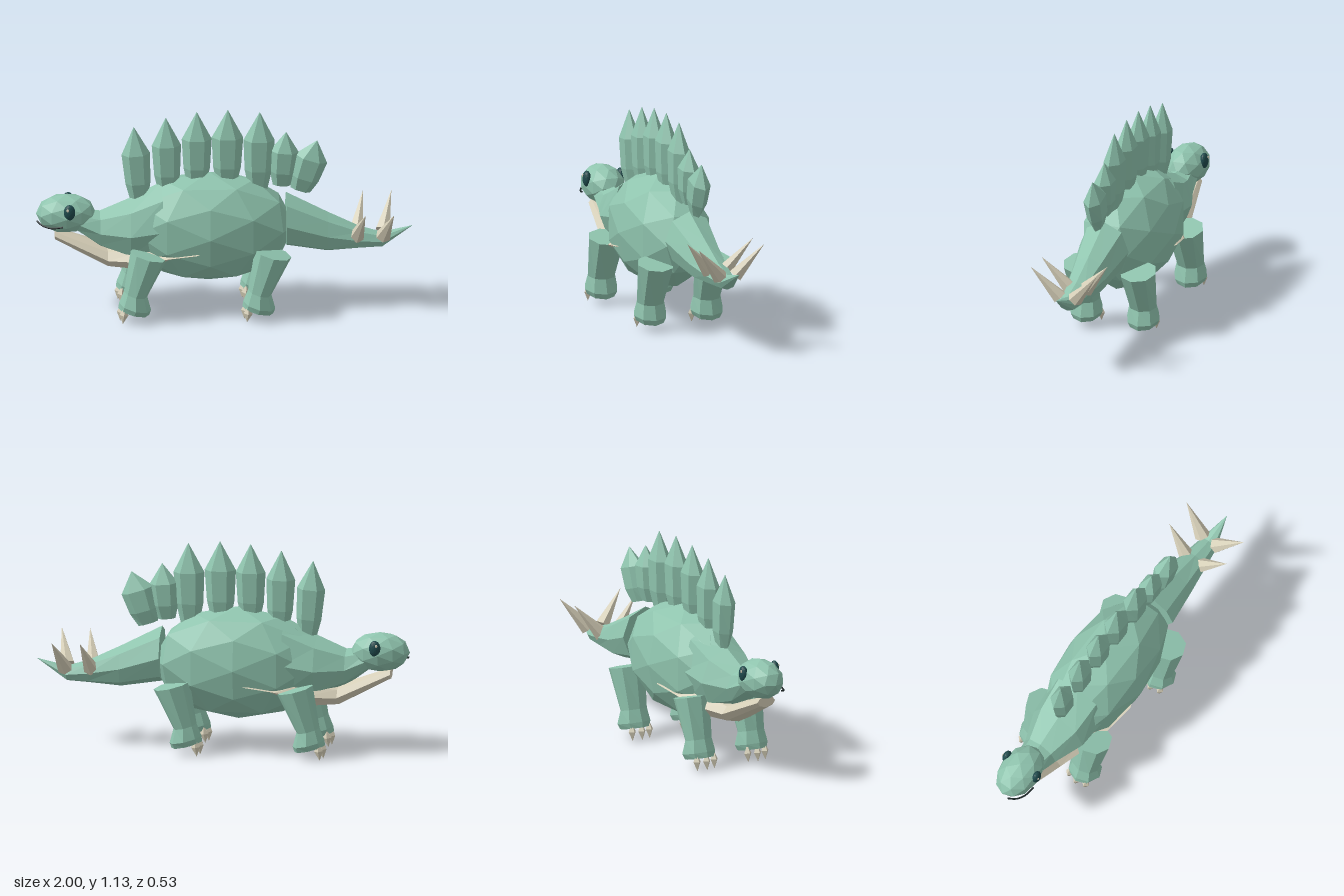
import * as THREE from 'three';

const paint = (color) => new THREE.MeshStandardMaterial({ color, flatShading: true });
const green = paint(0x8fc4ae), bone = paint(0xd6cfb8), dark = paint(0x1f4a4c), black = paint(0x1c2626);

function add(parent, name, geometry, material, x = 0, y = 0, z = 0) {
  const mesh = new THREE.Mesh(geometry, material);
  mesh.name = name;
  mesh.position.set(x, y, z);
  parent.add(mesh);
  return mesh;
}

// Capped skin along x over elliptical sections [x, centreY, radiusY, radiusZ]
function loft(sections, sides = 8) {
  const pos = [];
  const point = ([x, y, ry, rz], j) => {
    const a = (j / sides) * Math.PI * 2;
    return [x, y + ry * Math.cos(a), rz * Math.sin(a)];
  };
  const first = sections[0], last = sections[sections.length - 1];
  for (let j = 0; j < sides; j++) {
    for (let i = 0; i < sections.length - 1; i++) {
      const a = point(sections[i], j), b = point(sections[i], j + 1);
      const c = point(sections[i + 1], j), d = point(sections[i + 1], j + 1);
      pos.push(...a, ...b, ...c, ...b, ...d, ...c);
    }
    pos.push(first[0], first[1], 0, ...point(first, j + 1), ...point(first, j));
    pos.push(last[0], last[1], 0, ...point(last, j), ...point(last, j + 1));
  }
  const geometry = new THREE.BufferGeometry();
  geometry.setAttribute('position', new THREE.Float32BufferAttribute(pos, 3));
  geometry.computeVertexNormals();
  return geometry;
}

const ball = (rx, ry, rz, detail = 1) => new THREE.IcosahedronGeometry(1, detail).scale(rx, ry, rz);

function createLeg(x, side, name) {
  const leg = new THREE.Group();
  leg.name = name;
  const limb = add(leg, 'limb', loft([
    [0, 0, 0.1, 0.1], [0.23, -0.015, 0.064, 0.078], [0.3, 0, 0.088, 0.093], [0.33, 0, 0.085, 0.078],
  ]), green, x, 0.375, side * 0.163);
  limb.rotation.z = -1.82;
  // Three claws at the toe edge
  for (const dz of [-0.053, 0, 0.053]) {
    const claw = add(leg, 'claw', new THREE.OctahedronGeometry(1).scale(0.024, 0.05, 0.022), bone,
      x - 0.135 - (dz === 0 ? 0.012 : 0), 0.052, side * 0.158 + dz);
    claw.rotation.z = -0.12;
  }
  return leg;
}

export function createModel() {
  const model = new THREE.Group();
  model.name = 'platedDinosaur';

  add(model, 'body', ball(0.46, 0.305, 0.235), green, -0.08, 0.475);
  add(model, 'neck', loft([
    [-0.78, 0.52, 0.06, 0.08], [-0.66, 0.47, 0.1, 0.1], [-0.5, 0.47, 0.17, 0.16], [-0.33, 0.5, 0.23, 0.175],
  ]), green);
  add(model, 'throat', loft([
    [-0.9, 0.445, 0.03, 0.055], [-0.62, 0.32, 0.055, 0.105], [-0.42, 0.33, 0.08, 0.17],
    [-0.3, 0.36, 0.04, 0.197], [-0.15, 0.385, 0.02, 0.219], [-0.08, 0.39, 0.01, 0.19],
  ]), bone);
  add(model, 'tail', loft([
    [0.33, 0.51, 0.15, 0.14], [0.55, 0.435, 0.11, 0.1], [0.72, 0.4, 0.062, 0.07],
    [0.84, 0.385, 0.04, 0.05], [1, 0.46, 0.001, 0.001],
  ]), green);

  // Head, eyes and a one-sided smile
  add(model, 'head', ball(0.16, 0.107, 0.11), green, -0.84, 0.558);
  for (const side of [1, -1]) {
    add(model, 'eye', ball(0.031, 0.044, 0.022, 2), dark, -0.825, 0.595, side * 0.097);
    add(model, 'eyeGlint', ball(0.007, 0.009, 0.004), bone, -0.835, 0.613, side * 0.116);
  }
  const smile = new THREE.CatmullRomCurve3([
    new THREE.Vector3(-0.995, 0.525, 0.03), new THREE.Vector3(-0.965, 0.512, 0.068),
    new THREE.Vector3(-0.92, 0.506, 0.092), new THREE.Vector3(-0.86, 0.515, 0.104),
  ]);
  add(model, 'mouth', new THREE.TubeGeometry(smile, 10, 0.005, 5), black);

  // Back plates: [baseX, baseY, tipX, tipY, halfWidth]
  const plates = [
    [-0.45, 0.62, -0.48, 1.04, 0.076], [-0.3, 0.66, -0.31, 1.09, 0.078], [-0.145, 0.7, -0.145, 1.12, 0.08],
    [0.015, 0.7, 0.02, 1.13, 0.084], [0.18, 0.68, 0.19, 1.115, 0.083], [0.305, 0.7, 0.33, 1, 0.077],
    [0.405, 0.67, 0.495, 0.95, 0.09],
  ];
  for (const [bx, by, tx, ty, w] of plates) {
    const len = Math.hypot(tx - bx, ty - by);
    const plate = add(model, 'backPlate', loft([
      [0, 0, w * 0.6, 0.025], [len * 0.25, 0, w * 0.88, 0.05], [len * 0.64, 0, w, 0.055], [len, 0, 0.001, 0.001],
    ], 6), green, bx, by);
    plate.rotation.z = Math.atan2(ty - by, tx - bx);
  }

  // Paired tail spikes
  const up = new THREE.Vector3(0, 1, 0);
  for (const side of [1, -1]) {
    for (const [bx, tx] of [[0.705, 0.745], [0.845, 0.897]]) {
      const base = new THREE.Vector3(bx, 0.42, side * 0.045);
      const dir = new THREE.Vector3(tx, 0.59, side * 0.19).sub(base);
      const len = dir.length();
      const spike = add(model, 'tailSpike', new THREE.ConeGeometry(0.042, len, 6).translate(0, len / 2, 0), bone);
      spike.position.copy(base);
      spike.quaternion.setFromUnitVectors(up, dir.normalize());
    }
    model.add(createLeg(-0.405, side, 'frontLeg'), createLeg(0.255, side, 'hindLeg'));
  }
  return model;
}
